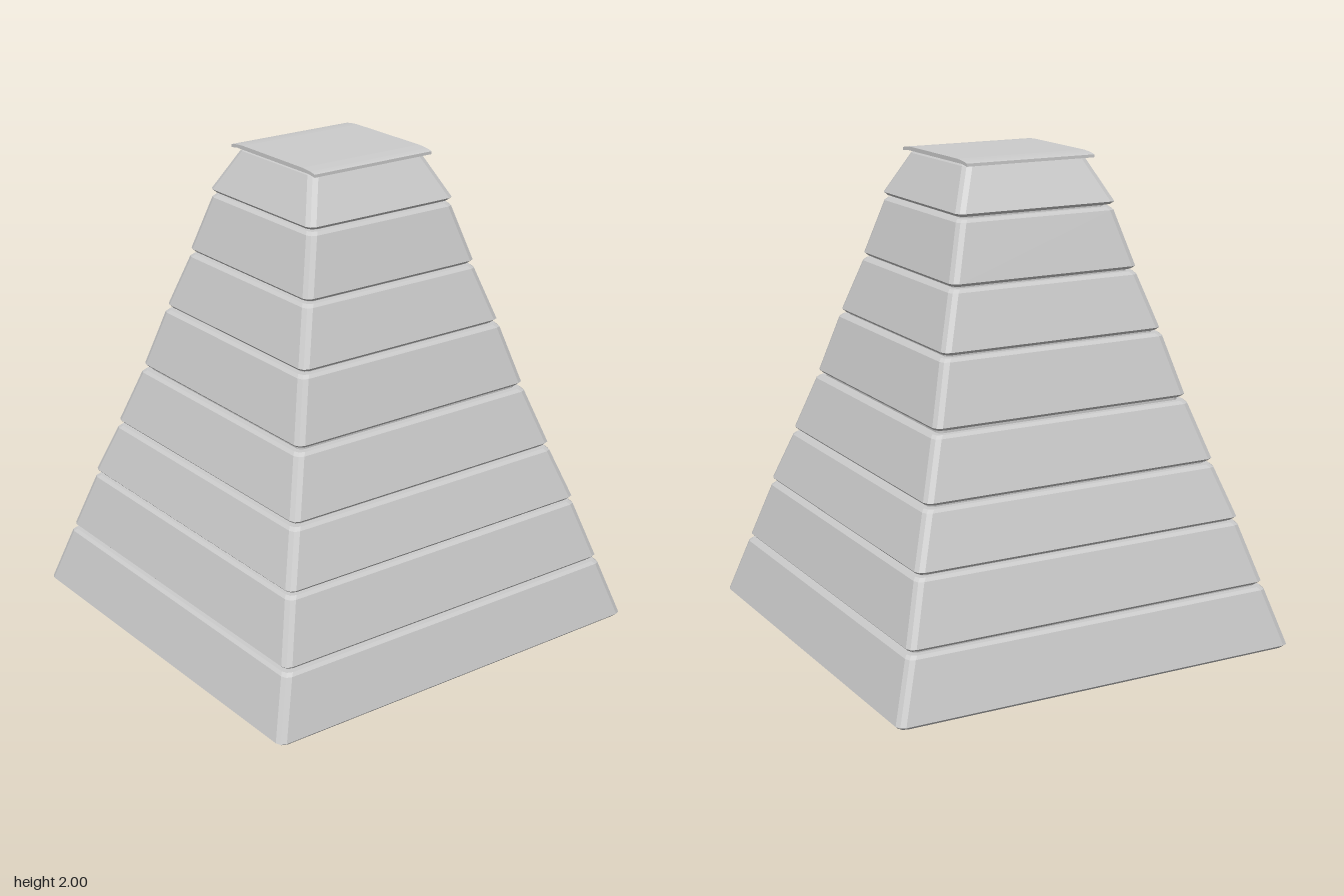
import * as THREE from 'three';

const material = new THREE.MeshStandardMaterial({ color: 0xcccccc, flatShading: true });

// Lofts a solid through rounded rectangles given as [y, halfX, halfZ]
function loft(sections, radius) {
  const steps = 2, pos = [], index = [];
  const n = 4 * (steps + 1);
  for (const [y, hx, hz] of sections) {
    for (let c = 0; c < 4; c++) {
      const sx = c === 0 || c === 3 ? 1 : -1, sz = c < 2 ? 1 : -1;
      for (let s = 0; s <= steps; s++) {
        const a = (c + s / steps) * Math.PI / 2;
        pos.push(sx * (hx - radius) + radius * Math.cos(a), y, sz * (hz - radius) + radius * Math.sin(a));
      }
    }
  }
  for (let k = 0; k < sections.length - 1; k++) {
    for (let i = 0; i < n; i++) {
      const a = k * n + i, b = k * n + (i + 1) % n;
      index.push(b, a, a + n, b, a + n, b + n);
    }
  }
  const top = (sections.length - 1) * n;
  for (let i = 1; i < n - 1; i++) {
    index.push(0, i, i + 1, top, top + i + 1, top + i);
  }
  const indexed = new THREE.BufferGeometry();
  indexed.setAttribute('position', new THREE.Float32BufferAttribute(pos, 3));
  indexed.setIndex(index);
  const geometry = indexed.toNonIndexed();
  geometry.computeVertexNormals();
  return geometry;
}

export function createModel() {
  const group = new THREE.Group();
  const add = (name, geometry) => {
    const mesh = new THREE.Mesh(geometry, material);
    mesh.name = name;
    group.add(mesh);
  };

  // Stacked tapering tiers: bottom y, top y, bottom half x / z, top half x / z
  const tiers = [
    [0, 0.255, 0.872, 0.886, 0.806, 0.812],
    [0.265, 0.52, 0.795, 0.803, 0.722, 0.732],
    [0.53, 0.755, 0.718, 0.727, 0.647, 0.657],
    [0.767, 1.013, 0.641, 0.65, 0.567, 0.577],
    [1.027, 1.285, 0.558, 0.567, 0.49, 0.5],
    [1.295, 1.53, 0.482, 0.49, 0.413, 0.422],
    [1.54, 1.785, 0.41, 0.417, 0.345, 0.352],
    [1.795, 1.985, 0.345, 0.355, 0.25, 0.275],
  ];
  const bevel = 0.012;
  tiers.forEach(([y0, y1, bx, bz, tx, tz], i) => {
    add(i === 0 ? 'baseTier' : `tier${i + 1}`, loft([
      [y0, bx - bevel, bz - bevel],
      [y0 + bevel, bx, bz],
      [y1 - bevel, tx, tz],
      [y1, tx - bevel, tz - bevel],
    ], 0.03));
    // Recessed joint to the next tier
    if (i < tiers.length - 1) {
      const y = tiers[i + 1][0], inset = 0.035;
      add('joint', loft([
        [y1 - 0.01, tx - inset, tz - inset],
        [y + 0.01, tx - inset, tz - inset],
      ], 0.02));
    }
  });

  // Thin top pad with edges drooping to the sides
  const pad = new THREE.Shape();
  pad.moveTo(-0.28, 1.978);
  pad.lineTo(-0.24, 1.984);
  pad.lineTo(0.24, 1.984);
  pad.lineTo(0.28, 1.978);
  pad.lineTo(0.28, 1.99);
  pad.quadraticCurveTo(0.26, 1.997, 0.2, 2);
  pad.lineTo(-0.2, 2);
  pad.quadraticCurveTo(-0.26, 1.997, -0.28, 1.99);
  pad.closePath();
  const padGeometry = new THREE.ExtrudeGeometry(pad, { depth: 0.57, bevelEnabled: false, curveSegments: 4 });
  padGeometry.translate(0, 0, -0.285);
  add('topPad', padGeometry);

  return group;
}
